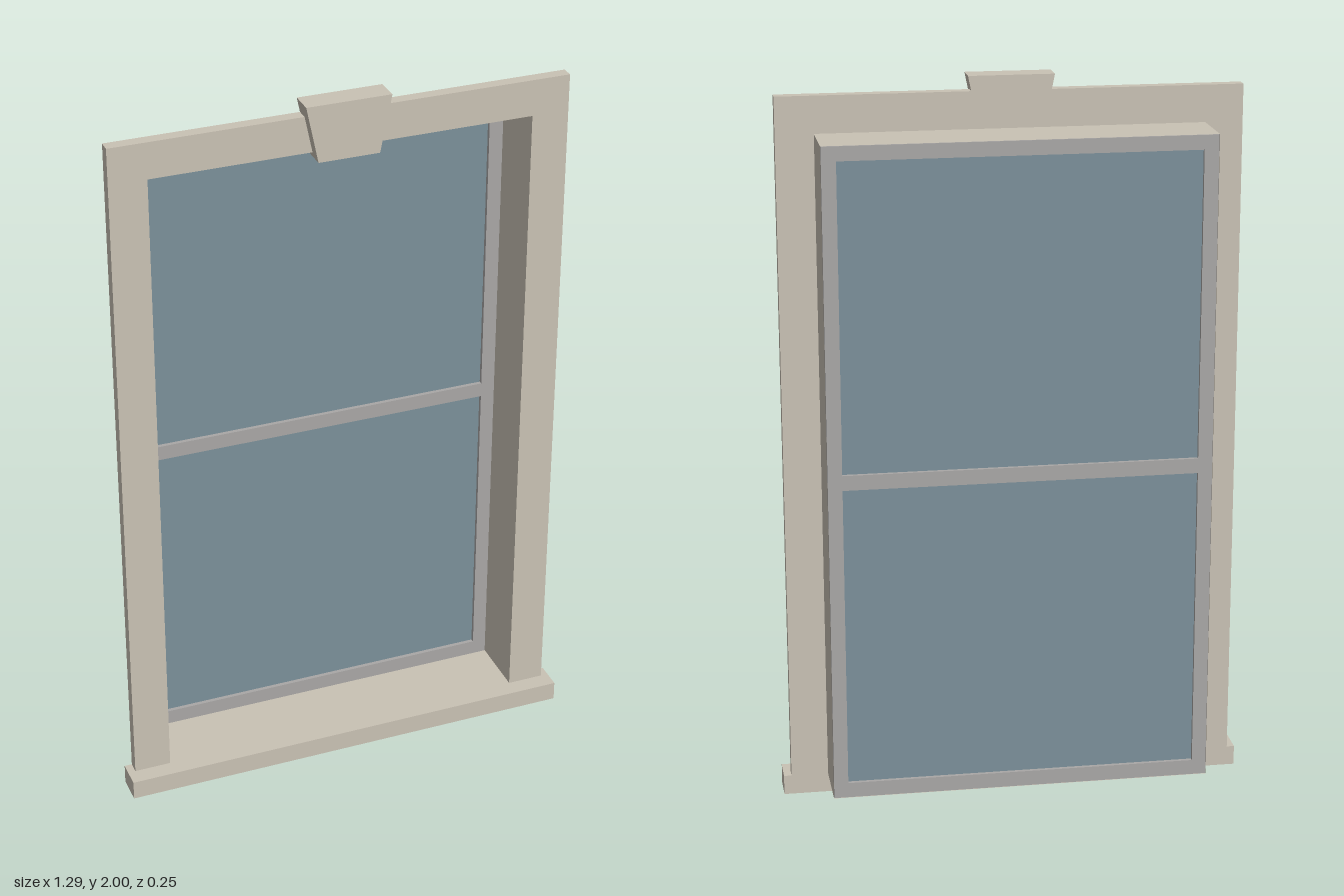
import * as THREE from 'three';

const STONE = new THREE.MeshStandardMaterial({ color: 0xc9c2b4 });
const LINING = new THREE.MeshStandardMaterial({ color: 0xc9c2b4, side: THREE.DoubleSide });
const SASH = new THREE.MeshStandardMaterial({ color: 0xa9a7a6 });
const GLASS = new THREE.MeshStandardMaterial({ color: 0x7b909a });

// Key dimensions
const OPEN_X = 0.52, OPEN_BOTTOM = 0.055, OPEN_TOP = 1.86;
const WALL_Z = 0.045, BACK_Z = -0.126;
const SASH_DEPTH = 0.03, RAIL = 0.04;

function addMesh(parent, name, geometry, material) {
  const mesh = new THREE.Mesh(geometry, material);
  mesh.name = name;
  parent.add(mesh);
  return mesh;
}

function polygon(points) {
  return new THREE.Shape(points.map(([x, y]) => new THREE.Vector2(x, y)));
}

function rectangle(x, y0, y1) {
  return polygon([[-x, y0], [x, y0], [x, y1], [-x, y1]]);
}

// Flat outline given thickness from z0 to z1
function slab(shape, z0, z1) {
  return new THREE.ExtrudeGeometry(shape, { depth: z1 - z0, bevelEnabled: false }).translate(0, 0, z0);
}

export function createModel() {
  const model = new THREE.Group();
  model.name = 'window';

  // Stone sill
  addMesh(model, 'sill', slab(rectangle(0.643, 0, OPEN_BOTTOM), WALL_Z, 0.126), STONE);

  // Surround: two jambs and a head, open at the sill
  const outline = polygon([
    [-0.622, OPEN_BOTTOM], [-OPEN_X, OPEN_BOTTOM], [-OPEN_X, OPEN_TOP], [OPEN_X, OPEN_TOP],
    [OPEN_X, OPEN_BOTTOM], [0.622, OPEN_BOTTOM], [0.622, 1.96], [-0.622, 1.96],
  ]);
  addMesh(model, 'surround', slab(outline, WALL_Z, 0.078), STONE);

  // Tapered keystone
  const wedge = polygon([[-0.083, 1.845], [0.083, 1.845], [0.115, 2], [-0.115, 2]]);
  addMesh(model, 'keystone', slab(wedge, WALL_Z, 0.112), STONE);

  // Thin lining of the opening, running back to the sash
  const reveal = new THREE.Group();
  reveal.name = 'reveal';
  model.add(reveal);
  const depth = WALL_Z - BACK_Z, midZ = (WALL_Z + BACK_Z) / 2;
  const midY = (OPEN_BOTTOM + OPEN_TOP) / 2;
  for (const side of [-1, 1]) {
    const jamb = new THREE.PlaneGeometry(depth, OPEN_TOP - OPEN_BOTTOM).rotateY(-side * Math.PI / 2);
    addMesh(reveal, side > 0 ? 'leftReveal' : 'rightReveal', jamb, LINING).position.set(side * OPEN_X, midY, midZ);
    const ledge = new THREE.PlaneGeometry(OPEN_X * 2, depth).rotateX(side * Math.PI / 2);
    const y = side > 0 ? OPEN_TOP : OPEN_BOTTOM;
    addMesh(reveal, side > 0 ? 'topReveal' : 'bottomReveal', ledge, LINING).position.set(0, y, midZ);
  }

  // Sash frame with two openings and a meeting rail
  const gap = 0.001; // keeps the sash just inside the lining
  const sash = rectangle(OPEN_X - gap, OPEN_BOTTOM + gap, OPEN_TOP - gap);
  const panes = [['lowerPane', 0.098, 0.938], ['upperPane', 0.979, OPEN_TOP - RAIL]];
  const paneX = OPEN_X - RAIL;
  for (const [, y0, y1] of panes) sash.holes.push(rectangle(paneX, y0, y1));
  addMesh(model, 'sash', slab(sash, BACK_Z, BACK_Z + SASH_DEPTH), SASH);

  // Glass set in the middle of the sash depth
  for (const [name, y0, y1] of panes) {
    addMesh(model, name, slab(rectangle(paneX, y0, y1), BACK_Z + 0.011, BACK_Z + 0.019), GLASS);
  }

  return model;
}
